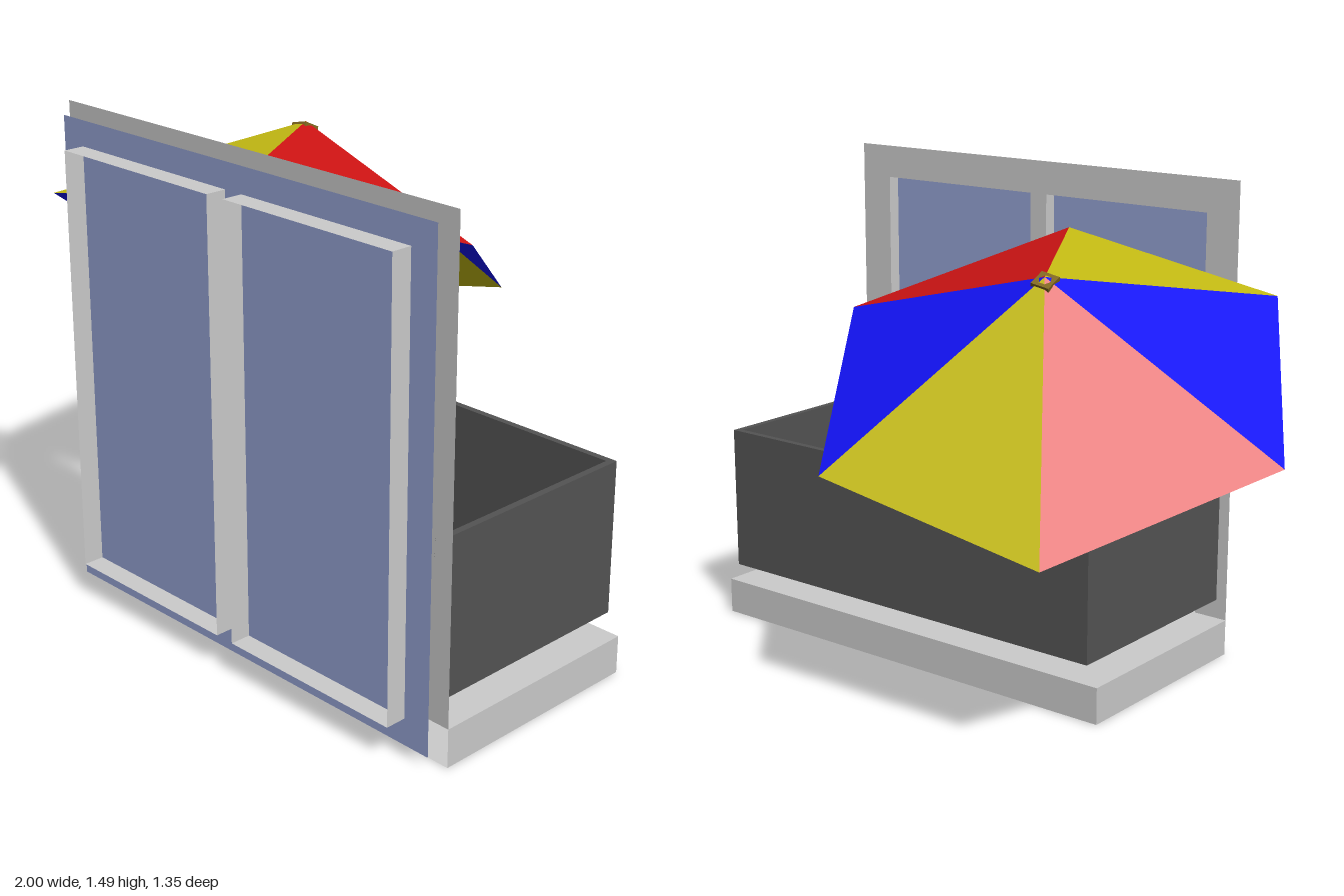
import * as THREE from 'three';

const mat = (color) =>
  new THREE.MeshStandardMaterial({ color, side: THREE.DoubleSide, flatShading: true });

const GREY = mat(0xcccccc);
const RAIL = mat(0x545454);
const GLASS = mat(0x94a2d3);
const WOOD = mat(0x7f671f);
const FABRIC = [mat(0x1414ff), mat(0xc8be14), mat(0xd01414)];

// Main limits of the balcony
const LEFT = -0.485, RIGHT = 1, BACK = -0.12, WALL_Z = 0.57;
const FLOOR = 0.113, TOP = 1.485, DOOR_TOP = 1.38;
const DOORS = [[-0.373, 0.226], [0.288, 0.886]];

function add(parent, name, geometry, material) {
  const mesh = new THREE.Mesh(geometry, material);
  mesh.name = name;
  parent.add(mesh);
  return mesh;
}

// Box between two corners; faces numbered in `open` (4 = front, 5 = back) are left out
function boxBetween(x0, x1, y0, y1, z0, z1, open = []) {
  const g = new THREE.BoxGeometry(x1 - x0, y1 - y0, z1 - z0);
  g.translate((x0 + x1) / 2, (y0 + y1) / 2, (z0 + z1) / 2);
  g.setIndex(Array.from(g.index.array).filter((_, i) => !open.includes(Math.floor(i / 6))));
  g.clearGroups();
  return g;
}

function createFacade() {
  const facade = new THREE.Group();
  facade.name = 'facade';

  // Thin wall with two door openings reaching down to the floor
  const wall = new THREE.Shape();
  wall.moveTo(LEFT, FLOOR);
  for (const [x0, x1] of DOORS) {
    wall.lineTo(x0, FLOOR);
    wall.lineTo(x0, DOOR_TOP);
    wall.lineTo(x1, DOOR_TOP);
    wall.lineTo(x1, FLOOR);
  }
  wall.lineTo(RIGHT, FLOOR);
  wall.lineTo(RIGHT, TOP);
  wall.lineTo(LEFT, TOP);
  wall.closePath();
  add(facade, 'wall', new THREE.ShapeGeometry(wall).translate(0, 0, WALL_Z), GREY);

  // Open sleeves lining the doors
  for (const [x0, x1] of DOORS) {
    add(facade, 'doorFrame', boxBetween(x0, x1, FLOOR, DOOR_TOP, WALL_Z, 0.675, [4, 5]), GREY);
  }

  // One sheet of glass behind both doors
  const glass = new THREE.PlaneGeometry(1.425, 1.42);
  add(facade, 'glass', glass.translate(0.2575, 0.745, 0.612), GLASS);
  return facade;
}

function createRailing() {
  const railing = new THREE.Group();
  railing.name = 'railing';
  const t = 0.02, x0 = -0.449, x1 = 0.961, y0 = 0.173, y1 = 0.63;
  add(railing, 'backPanel', boxBetween(x0, x1, y0, y1, BACK, BACK + t), RAIL);
  for (const x of [x0, x1 - t]) {
    add(railing, 'sidePanel', boxBetween(x, x + t, y0, y1, BACK + t, WALL_Z), RAIL);
  }
  return railing;
}

function createParasol() {
  const parasol = new THREE.Group();
  parasol.name = 'parasol';
  const apex = new THREE.Vector3(-0.375, 1.305, -0.235);
  const centre = new THREE.Vector3(-0.296, 0.97, -0.075);
  const axis = apex.clone().sub(centre).normalize();

  // Six-panel canopy around the tilted axis
  const radius = 0.722;
  const u = new THREE.Vector3(-0.705, -0.135, 0.06).projectOnPlane(axis).setLength(radius);
  const v = axis.clone().cross(u);
  const rim = (k) => {
    const a = (k * Math.PI) / 3;
    return centre.clone().addScaledVector(u, Math.cos(a)).addScaledVector(v, Math.sin(a));
  };
  for (let k = 0; k < 6; k++) {
    const panel = new THREE.BufferGeometry().setFromPoints([apex, rim(k), rim(k + 1)]);
    panel.computeVertexNormals();
    add(parasol, 'canopyPanel', panel, FABRIC[k % 3]);
  }

  // Square pole from the apex down into the floor slab
  const length = (apex.y - 0.025) / axis.y;
  const side = new THREE.Vector3(1, 0, 0).projectOnPlane(axis).normalize();
  const pole = add(parasol, 'pole', new THREE.BoxGeometry(0.057, length, 0.057), WOOD);
  pole.quaternion.setFromRotationMatrix(
    new THREE.Matrix4().makeBasis(side, axis, side.clone().cross(axis)));
  pole.position.copy(apex).addScaledVector(axis, -length / 2 - 0.01);
  return parasol;
}

export function createModel() {
  const model = new THREE.Group();
  model.name = 'balcony';
  // Hollow floor slab, open towards the front
  add(model, 'floorSlab', boxBetween(LEFT, RIGHT, 0, FLOOR, BACK, WALL_Z, [4]), GREY);
  model.add(createFacade(), createRailing(), createParasol());
  return model;
}
